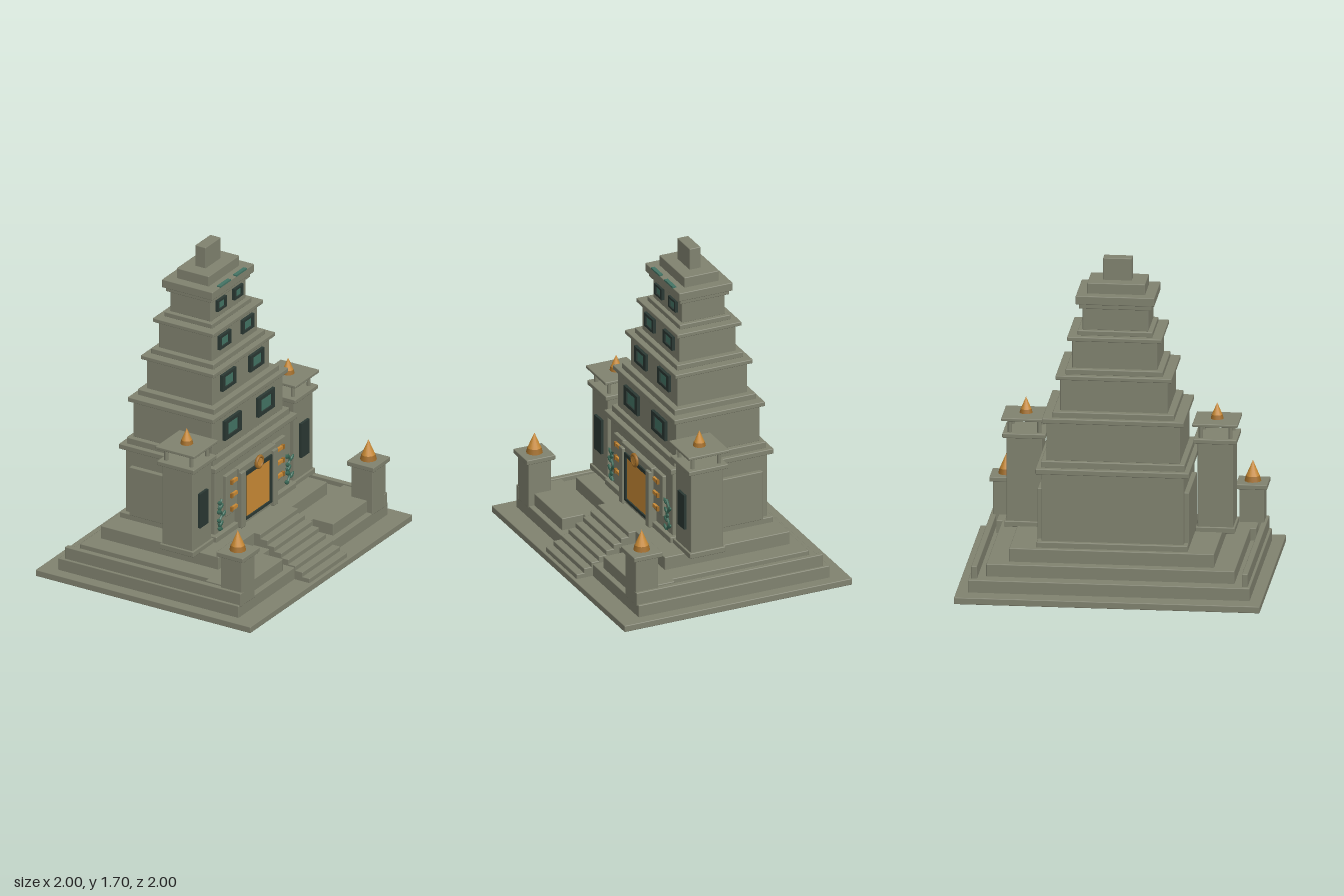
import * as THREE from 'three';
import { RoundedBoxGeometry } from 'three/addons/geometries/RoundedBoxGeometry.js';

const mat = (name, color) => Object.assign(new THREE.MeshStandardMaterial({ color }), { name });

export function createModel() {
  const stone = mat('stone', 0x80826f);
  const dark = mat('dark frame', 0x2a3833);
  const teal = mat('teal glass', 0x437364);
  const leaf = mat('leaf green', 0x3b6a58);
  const gold = mat('gold', 0xc98a35);
  const bronze = mat('bronze', 0xa06c28);

  const model = new THREE.Group();
  model.name = 'temple';
  // The whole temple is built square to +z, then turned so a corner faces front.
  model.rotation.y = Math.PI / 4;

  const add = (name, geo, material, x, y, z, parent = model) => {
    const m = new THREE.Mesh(geo, material);
    m.name = name;
    m.position.set(x, y, z);
    parent.add(m);
    return m;
  };
  // Stone block given by its extents, with a fine bevel
  const block = (name, x0, x1, y0, y1, z0, z1, parent) =>
    add(name, new RoundedBoxGeometry(x1 - x0, y1 - y0, z1 - z0, 1, 0.004), stone,
      (x0 + x1) / 2, (y0 + y1) / 2, (z0 + z1) / 2, parent);
  const plate = (name, material, x, y, z, w, h, d, parent) =>
    add(name, new THREE.BoxGeometry(w, h, d), material, x, y, z, parent);

  // Stepped platform
  block('baseSlab', -0.776, 0.776, 0, 0.035, -0.638, 0.638);
  block('lowerTerrace', -0.715, 0.715, 0.03, 0.1, -0.54, 0.53);
  block('middleTerrace', -0.63, 0.63, 0.09, 0.165, -0.465, 0.38);
  block('upperTerrace', -0.52, 0.52, 0.16, 0.235, -0.41, 0.29);

  // Main stairs
  const steps = 8;
  for (let i = 0; i < steps; i++) {
    const top = 0.235 - (i * 0.2) / steps;
    block('stair', -0.18, 0.18, 0.02, top, 0.27, 0.33 + (i * 0.29) / (steps - 1));
  }

  // Tower storeys: [half width, half depth, y0, y1], centred a little to the rear
  const ZC = -0.095;
  const storeys = [
    ['plinth', 0.383, 0.288, 0.23, 0.265],
    ['groundFloor', 0.361, 0.265, 0.26, 0.63],
    ['cornice', 0.39, 0.288, 0.62, 0.648],
    ['ledge', 0.365, 0.258, 0.645, 0.682],
    ['secondFloor', 0.339, 0.235, 0.68, 0.885],
    ['cornice', 0.36, 0.254, 0.88, 0.905],
    ['ledge', 0.308, 0.228, 0.9, 0.935],
    ['thirdFloor', 0.273, 0.196, 0.93, 1.105],
    ['cornice', 0.295, 0.217, 1.1, 1.122],
    ['ledge', 0.247, 0.186, 1.12, 1.15],
    ['fourthFloor', 0.216, 0.158, 1.145, 1.3],
    ['cornice', 0.24, 0.18, 1.295, 1.317],
    ['ledge', 0.19, 0.142, 1.315, 1.342],
    ['fifthFloor', 0.167, 0.12, 1.34, 1.46],
    ['cornice', 0.184, 0.137, 1.455, 1.482],
    ['roofSlab', 0.2, 0.15, 1.48, 1.525],
    ['roofCap', 0.147, 0.096, 1.52, 1.58],
    ['crownBlock', 0.073, 0.031, 1.575, 1.695],
  ];
  for (const [name, hw, hd, y0, y1] of storeys) block(name, -hw, hw, y0, y1, ZC - hd, ZC + hd);

  // Windows: [x offset, y, wall z, width, height]
  const windows = [
    [0.16, 0.79, 0.14, 0.158, 0.108],
    [0.134, 1.03, 0.101, 0.132, 0.09],
    [0.11, 1.232, 0.063, 0.108, 0.076],
    [0.08, 1.412, 0.025, 0.084, 0.062],
  ];

  const finial = (x, y, z, s) => {
    const g = new THREE.Group();
    g.name = 'finial';
    g.position.set(x, y, z);
    add('finialBase', new THREE.CylinderGeometry(0.037 * s, 0.044 * s, 0.028 * s, 12), bronze, 0, 0.014 * s, 0, g);
    add('finialSpike', new THREE.ConeGeometry(0.036 * s, 0.085 * s, 12), gold, 0, 0.07 * s, 0, g);
    model.add(g);
  };

  // Everything that is mirrored left and right
  for (const s of [-1, 1]) {
    const side = (name, a, b, ...rest) => block(name, Math.min(s * a, s * b), Math.max(s * a, s * b), ...rest);

    for (const [x, y, z, w, h] of windows) {
      for (const e of [-1, 1]) {
        plate('windowJamb', dark, s * x + e * w * 0.41, y, z + 0.008, w * 0.18, h, 0.016);
        plate('windowRail', dark, s * x, y + e * h * 0.41, z + 0.008, w * 0.66, h * 0.18, 0.016);
      }
      plate('windowPane', teal, s * x, y, z + 0.004, w * 0.68, h * 0.68, 0.008);
    }
    plate('roofLight', teal, s * 0.077, 1.527, 0.047, 0.1, 0.009, 0.02);

    // Side panel of the ground floor
    side('sidePanel', 0.35, 0.385, 0.26, 0.53, -0.325, 0.05);

    // Low walls on the terrace
    side('sideParapet', 0.672, 0.702, 0.09, 0.165, -0.51, 0.535);
    side('frontParapet', 0.24, 0.66, 0.09, 0.165, 0.3, 0.5);

    // Corner pier
    side('pier', 0.562, 0.688, 0.09, 0.345, 0.407, 0.533);
    side('pierCap', 0.545, 0.705, 0.34, 0.366, 0.39, 0.55);
    finial(s * 0.625, 0.366, 0.47, 0.97);

    // Flanking turret with open lantern
    const tx = 0.485, tz = 0.08;
    const square = (name, h, y0, y1) => side(name, tx - h, tx + h, y0, y1, tz - h, tz + h);
    square('turretFoot', 0.1, 0.23, 0.26);
    square('turret', 0.09, 0.25, 0.705);
    square('turretCap', 0.11, 0.7, 0.724);
    for (const px of [-1, 1]) for (const pz of [-1, 1])
      add('lanternPost', new THREE.CylinderGeometry(0.011, 0.011, 0.07, 8), stone,
        s * tx + px * 0.075, 0.757, tz + pz * 0.075);
    square('turretRoof', 0.115, 0.79, 0.806);
    finial(s * tx, 0.806, tz, 0.75);
    plate('turretPanel', dark, s * tx, 0.465, 0.175, 0.078, 0.19, 0.018);

    // Doorway surround with golden bars
    side('doorJamb', 0.133, 0.175, 0.235, 0.545, 0.15, 0.215);
    side('doorPanel', 0.178, 0.285, 0.34, 0.565, 0.16, 0.19);
    for (const y of [0.37, 0.445, 0.52]) {
      plate('goldBar', gold, s * 0.222, y, 0.196, 0.055, 0.018, 0.014);
      plate('goldBarEnd', bronze, s * 0.245, y, 0.198, 0.014, 0.024, 0.014);
    }
    plate('doorFrame', dark, s * 0.125, 0.39, 0.19, 0.018, 0.26, 0.03);

    // Climbing vine: a wavy stem with alternating leaves
    const pts = [0, 1, 2, 3, 4].map(i => new THREE.Vector3(s * (0.325 + 0.014 * (i % 2 ? 1 : -1)), 0.28 + i * 0.042, 0.18));
    const curve = new THREE.CatmullRomCurve3(pts);
    add('vineStem', new THREE.TubeGeometry(curve, 16, 0.007, 6), leaf, 0, 0, 0);
    for (let i = 0; i < 7; i++) {
      const p = curve.getPoint((i + 0.5) / 7), e = i % 2 ? 1 : -1;
      const l = add('vineLeaf', new THREE.SphereGeometry(1, 8, 6), leaf, p.x + e * 0.016, p.y, p.z + 0.004);
      l.scale.set(0.021, 0.011, 0.007);
      l.rotation.z = e * 0.6;
    }
  }

  // Door, lintel and round emblem
  block('doorLintel', -0.175, 0.175, 0.525, 0.565, 0.15, 0.2);
  plate('doorFrameTop', dark, 0, 0.514, 0.19, 0.265, 0.02, 0.03);
  plate('doorSill', dark, 0, 0.264, 0.19, 0.265, 0.014, 0.03);
  plate('door', gold, 0, 0.388, 0.185, 0.234, 0.236, 0.024);
  add('emblemRing', new THREE.TorusGeometry(0.029, 0.009, 8, 20), bronze, 0, 0.538, 0.21);
  add('emblemDisc', new THREE.CylinderGeometry(0.026, 0.026, 0.02, 20), gold, 0, 0.538, 0.205).rotation.x = Math.PI / 2;

  const root = new THREE.Group();
  root.name = 'steppedTemple';
  root.add(model);
  return root;
}
